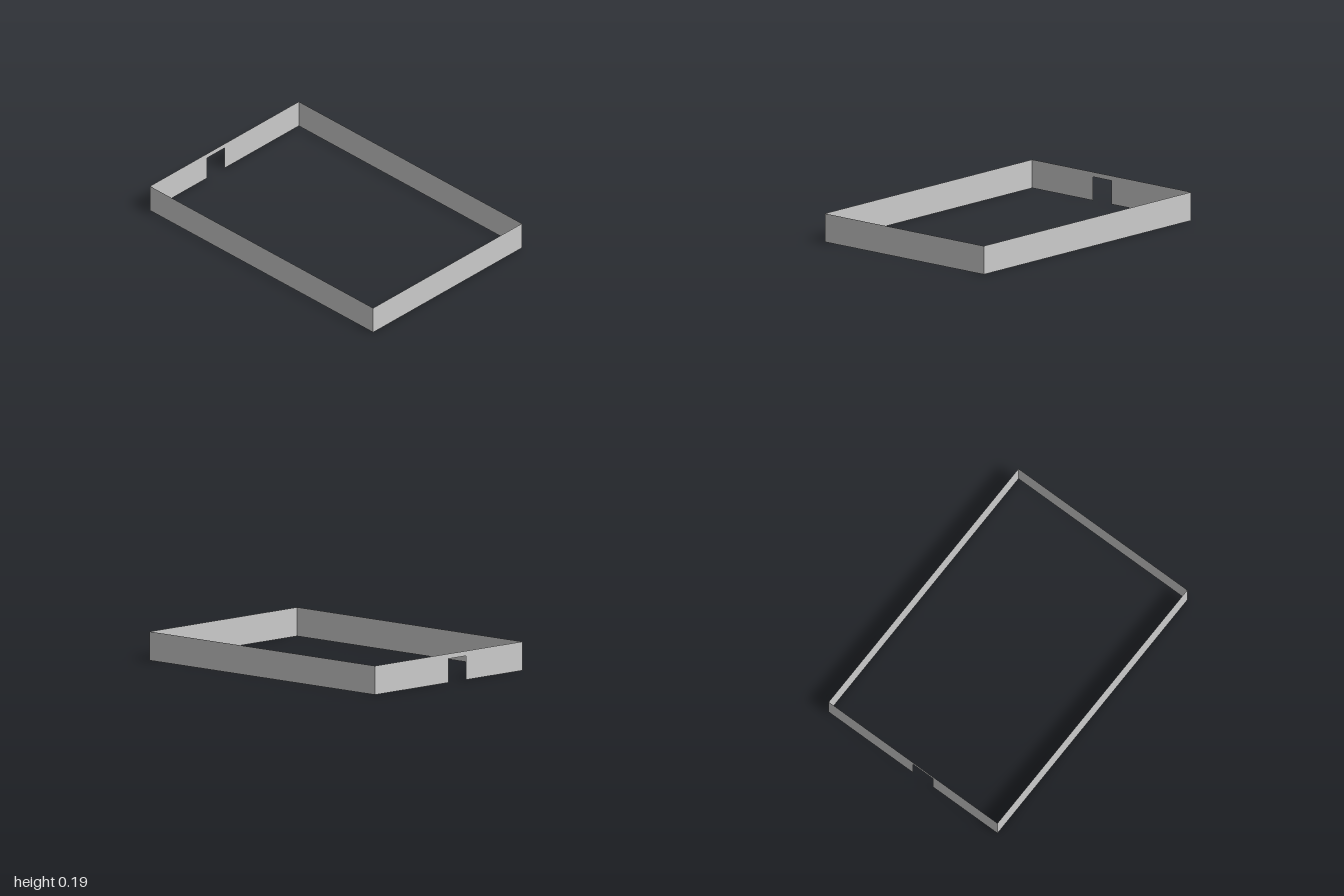
import * as THREE from 'three';

const HALF_X = 0.68, HALF_Z = 1, HEIGHT = 0.187;

export function createModel() {
  const model = new THREE.Group();
  const material = new THREE.MeshStandardMaterial({ color: 0xcccccc, side: THREE.DoubleSide, flatShading: true });

  // Upright thin wall from an outline, turned about y and moved into place
  function addWall(name, outline, x, z, turn) {
    const shape = new THREE.Shape(outline.map(([u, v]) => new THREE.Vector2(u, v)));
    const wall = new THREE.Mesh(new THREE.ShapeGeometry(shape), material);
    wall.name = name;
    wall.position.set(x, 0, z);
    wall.rotation.y = turn;
    model.add(wall);
  }
  const panel = (half) => [[-half, 0], [half, 0], [half, HEIGHT], [-half, HEIGHT]];

  // Plain front and side walls
  addWall('frontWall', panel(HALF_X), 0, HALF_Z, 0);
  addWall('leftWall', panel(HALF_Z), HALF_X, 0, Math.PI / 2);
  addWall('rightWall', panel(HALF_Z), -HALF_X, 0, -Math.PI / 2);

  // Back wall with a doorway open to the floor (outline faces backwards, so u = -x)
  const doorStart = 0, doorEnd = 0.16, doorTop = 0.155;
  addWall('backWall', [
    [-HALF_X, 0], [doorStart, 0], [doorStart, doorTop], [doorEnd, doorTop], [doorEnd, 0],
    [HALF_X, 0], [HALF_X, HEIGHT], [-HALF_X, HEIGHT],
  ], 0, -HALF_Z, Math.PI);

  return model;
}
